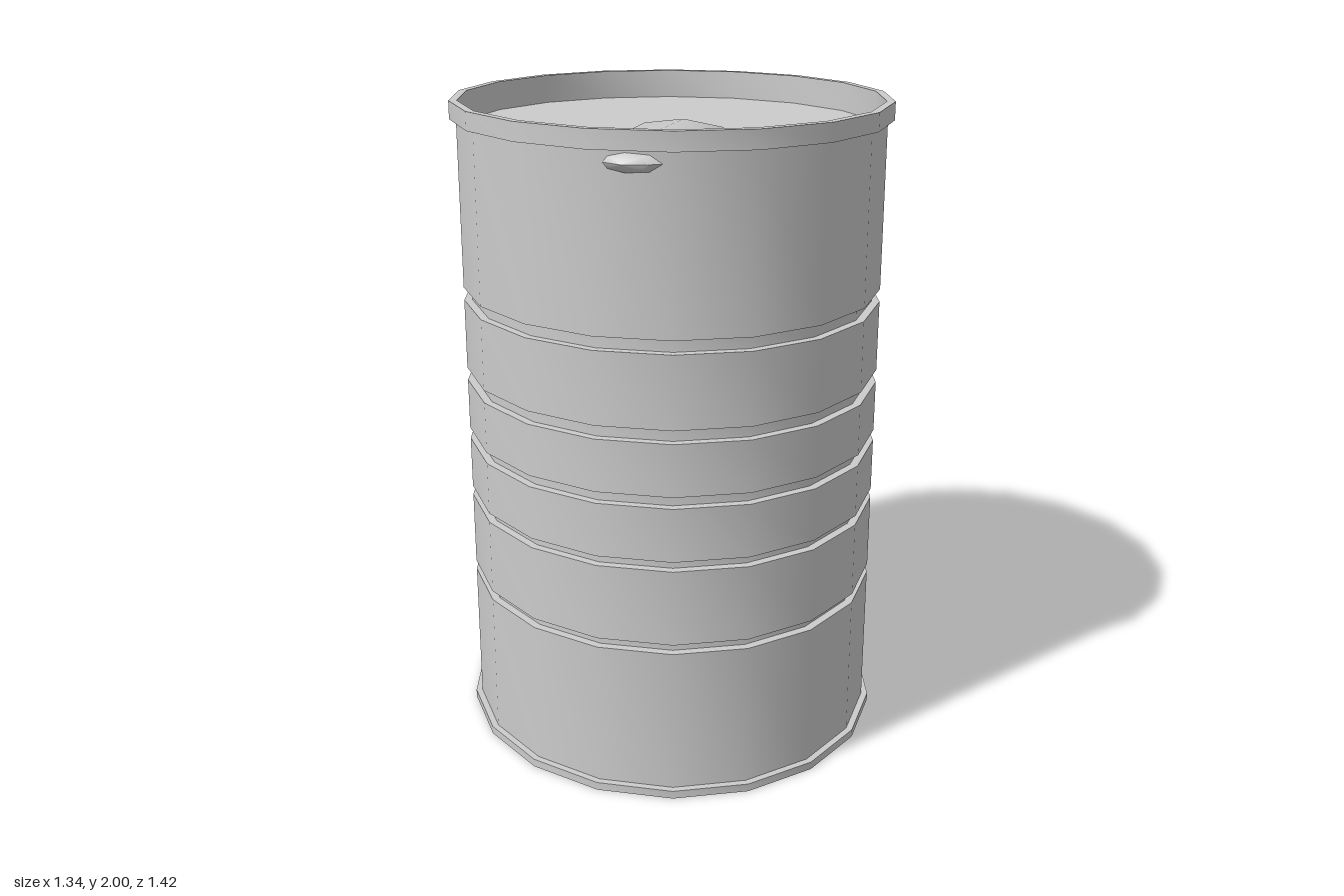
import * as THREE from 'three';
import { toCreasedNormals } from 'three/addons/utils/BufferGeometryUtils.js';

const material = new THREE.MeshStandardMaterial({ color: 0xcccccc });

// Revolve [radius, height] pairs, starting with a corner on the x axis
function revolve(name, points, sides, scale, crease) {
  const profile = points.map(([r, y]) => new THREE.Vector2(r, y));
  const geometry = new THREE.LatheGeometry(profile, sides, Math.PI / 2);
  geometry.scale(...scale);
  const mesh = new THREE.Mesh(toCreasedNormals(geometry, crease), material);
  mesh.name = name;
  return mesh;
}

export function createModel() {
  const group = new THREE.Group();
  group.name = 'barrel';

  const SIDES = 18;
  const OVAL = [1, 1, 1.075]; // slightly deeper than wide
  const WALL = 0.65, GROOVE = 0.625, RIM = 0.67, INNER = 0.645;
  const LID_Y = 1.91, RIM_Y = 1.945;

  // Ribbed wall with five recessed grooves
  const wall = [[WALL, 0.025]];
  const grooves = [[0.475, 0.505], [0.74, 0.77], [0.935, 0.97], [1.13, 1.17], [1.39, 1.43]];
  for (const [low, high] of grooves) {
    wall.push([WALL, low], [GROOVE, low], [GROOVE, high], [WALL, high]);
  }
  wall.push([WALL, RIM_Y]);
  group.add(revolve('wall', wall, SIDES, OVAL, 0.6));

  // Flat bottom with its thin rim
  group.add(revolve('base', [[0, 0], [RIM, 0], [RIM, 0.025], [WALL, 0.025]], SIDES, OVAL, 0.6));

  // Top rim and its inner wall
  group.add(revolve('topRim', [[WALL, RIM_Y], [RIM, RIM_Y], [RIM, 2], [INNER, 2], [INNER, LID_Y]], SIDES, OVAL, 0.6));

  // Sunken lid
  group.add(revolve('lid', [[INNER, LID_Y], [0, LID_Y]], SIDES, OVAL, 0.6));

  // Flattened tapered capsule lying half sunk in the lid
  const tab = revolve('lidTab',
    [[0, -0.29], [0.07, -0.265], [0.135, -0.214], [0.172, 0.172], [0.135, 0.222], [0.05, 0.285], [0, 0.296]],
    8, [1, 1, 0.34], 0.9);
  tab.geometry.rotateX(-Math.PI / 2); // long axis along -z
  tab.rotation.y = -0.545;
  tab.position.set(-0.1, LID_Y, 0.42);
  group.add(tab);

  return group;
}
